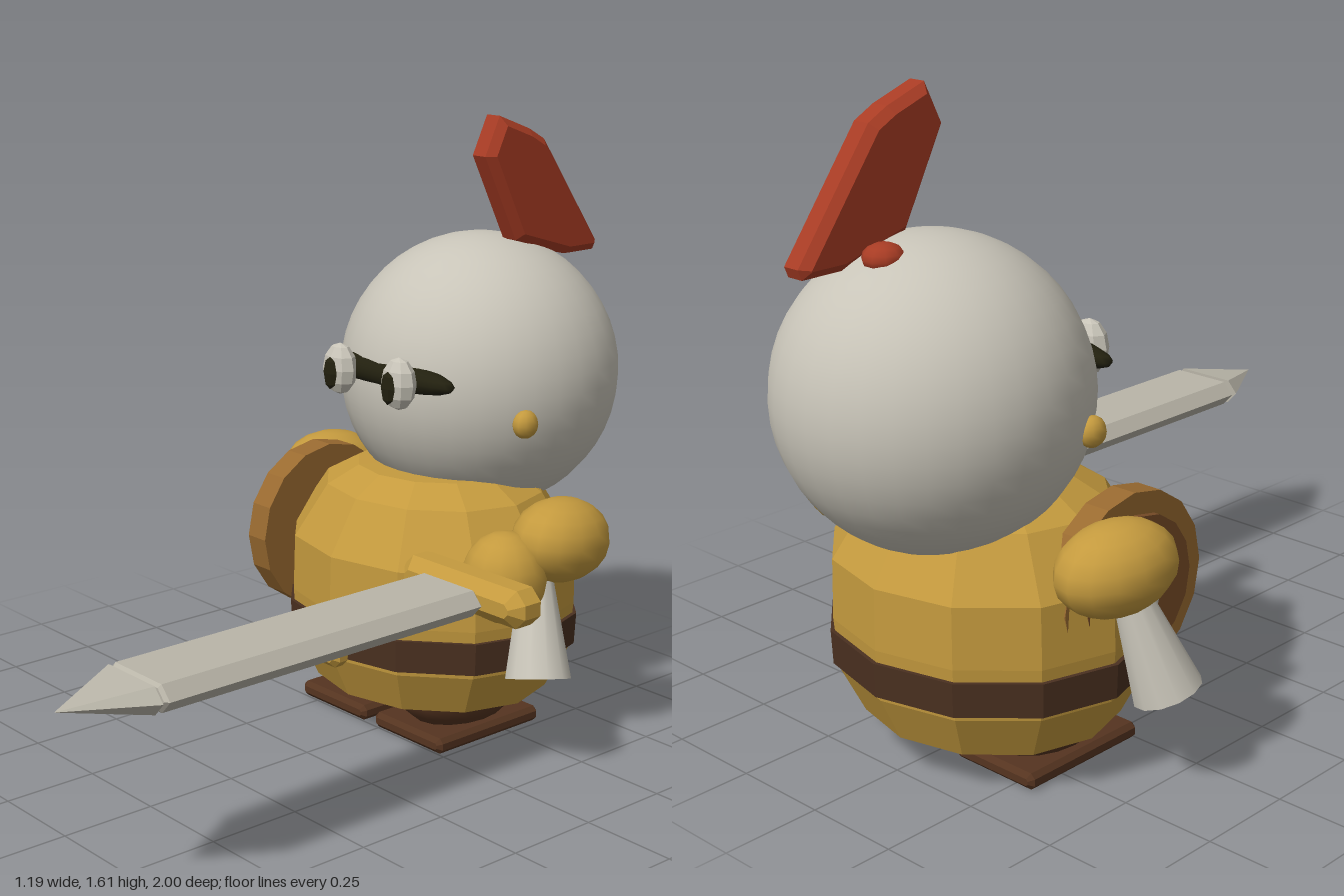
import * as THREE from 'three';

const mat = (name, color) => {
  const m = new THREE.MeshStandardMaterial({ color });
  m.name = name;
  return m;
};

// Faceted copy of a geometry
const flat = (g) => {
  const f = g.index ? g.toNonIndexed() : g;
  f.computeVertexNormals();
  return f;
};

// Plate cut from an outline, centred on its depth, with chamfered rims
const plate = (points, depth, c) => {
  const g = new THREE.ExtrudeGeometry(new THREE.Shape(points.map(([x, y]) => new THREE.Vector2(x, y))), {
    depth: depth - 2 * c, bevelEnabled: c > 0, bevelSize: c, bevelOffset: -c, bevelThickness: c, bevelSegments: 1,
  });
  return g.translate(0, 0, -(depth - 2 * c) / 2);
};

// Box with cut corners (k) and chamfered front and back rims (c)
const chamferBox = (w, h, d, k, c) => {
  const x = w / 2, y = h / 2;
  return plate([[x - k, -y], [x, -y + k], [x, y - k], [x - k, y], [-x + k, y], [-x, y - k], [-x, -y + k], [-x + k, -y]], d, c);
};

export function createModel() {
  const gold = mat('gold', 0xc49a3e);
  const steel = mat('pale steel', 0xc8c4b8);
  const bladeGrey = mat('blade grey', 0xb9b5a8);
  const leather = mat('dark leather', 0x4a3020);
  const boot = mat('boot brown', 0x553420);
  const red = mat('crest red', 0xa83c24);
  const black = mat('visor black', 0x22200f);
  const wood = mat('shield wood', 0x996a30);
  const darkWood = mat('shield face brown', 0x7a4e28);

  const model = new THREE.Group();
  const CX = -0.035; // body's line of symmetry
  const add = (name, geo, material, x = 0, y = 0, z = 0) => {
    const m = new THREE.Mesh(geo, material);
    m.name = name;
    m.position.set(x, y, z);
    model.add(m);
    return m;
  };
  const ball = (rx, ry, rz, ws = 16, hs = 12) => new THREE.SphereGeometry(1, ws, hs).scale(rx, ry, rz);
  const turned = (profile) => flat(new THREE.LatheGeometry(
    profile.map(([r, y]) => new THREE.Vector2(r, y)), 12).scale(0.41, 1, 0.367));

  // Barrel body with belt and buckle
  add('body', turned([[0, 0.105], [0.81, 0.105], [0.96, 0.22], [0.99, 0.35], [0.98, 0.5], [0.75, 0.64], [0.53, 0.69], [0, 0.695]]),
    gold, CX, 0, -0.47);
  add('belt', turned([[0.9, 0.235], [1.0, 0.235], [1.01, 0.32], [0.9, 0.32]]), leather, CX, 0, -0.47);
  add('buckle', chamferBox(0.156, 0.115, 0.055, 0.02, 0.015), gold, CX, 0.28, -0.088);

  // Head
  add('head', ball(0.37, 0.37, 0.37, 32, 24), steel, -0.033, 0.92, -0.63);
  add('visor', ball(0.243, 0.04, 0.048, 20, 10), black, -0.033, 0.96, -0.3);
  add('crestKnob', ball(0.05, 0.035, 0.05, 10, 8), red, CX, 1.255, -0.765);

  // Crest plate, outlined in side view as (-z, y)
  const crest = plate([[0.825, 1.225], [0.935, 1.225], [0.945, 1.25], [0.735, 1.535], [0.68, 1.565], [0.57, 1.605],
    [0.522, 1.505], [0.64, 1.28]], 0.085, 0.02);
  add('crest', crest.rotateY(Math.PI / 2), red, 0.058);

  // Paired parts
  for (const s of [1, -1]) {
    add('eye', flat(ball(0.053, 0.068, 0.038, 8, 6)), steel, CX + s * 0.112, 0.96, -0.237);
    add('pupil', flat(ball(0.026, 0.043, 0.012, 6, 4)), black, CX + s * 0.11, 0.953, -0.201);
    add('earStud', ball(0.03, 0.037, 0.037, 10, 8), gold, CX + s * 0.333, 0.86, -0.467);

    const shoulder = add('shoulder', ball(0.115, 0.108, 0.155, 14, 10), gold, CX + s * 0.435, 0.575, -0.5);
    shoulder.rotation.set(-0.1, s * 0.2, 0);

    // Flared sleeve hanging from the shoulder
    const top = new THREE.Vector3(CX + s * 0.405, 0.53, -0.445);
    const end = new THREE.Vector3(CX + s * 0.485, 0.245, -0.38);
    const sleeve = add('sleeve', new THREE.CylinderGeometry(0.035, 0.085, top.distanceTo(end), 12), steel);
    sleeve.position.copy(top).add(end).multiplyScalar(0.5);
    sleeve.quaternion.setFromUnitVectors(new THREE.Vector3(0, 1, 0), top.sub(end).normalize());

    // Foot and flat sole
    add('foot', ball(0.135, 0.12, 0.19), boot, CX + s * 0.147, 0.125, -0.435);
    add('sole', chamferBox(0.257, 0.042, 0.37, 0.012, 0.012), boot, CX + s * 0.147, 0.021, -0.43);
  }

  // Hands
  add('swordHand', ball(0.108, 0.118, 0.11, 14, 10), gold, 0.362, 0.5, -0.34);
  add('shieldHand', ball(0.06, 0.07, 0.06, 12, 8), steel, -0.415, 0.455, -0.38);

  // Round shield facing outwards
  const disc = (r, t) => flat(new THREE.CylinderGeometry(r, r, t, 16).rotateZ(Math.PI / 2));
  add('shieldRim', disc(0.23, 0.07), wood, -0.369, 0.465, -0.365);
  add('shieldFace', disc(0.176, 0.03), darkWood, -0.405, 0.465, -0.365);

  // Sword pointing forwards
  const hex = [[-0.115, 0], [-0.085, -0.033], [0.085, -0.033], [0.115, 0], [0.085, 0.033], [-0.085, 0.033]];
  add('blade', plate(hex, 0.945, 0.008), bladeGrey, 0.36, 0.497, 0.3175);
  const tip = plate(hex, 0.2, 0);
  const p = tip.attributes.position;
  for (let i = 0; i < p.count; i++) if (p.getZ(i) > 0) p.setXY(i, 0, 0);
  add('bladeTip', flat(tip), bladeGrey, 0.36, 0.497, 0.9);
  add('guard', chamferBox(0.42, 0.096, 0.112, 0.03, 0.03), gold, 0.375, 0.501, -0.21);
  add('grip', new THREE.CylinderGeometry(0.03, 0.03, 0.15, 8).rotateX(Math.PI / 2), gold, 0.36, 0.5, -0.32);

  return model;
}
